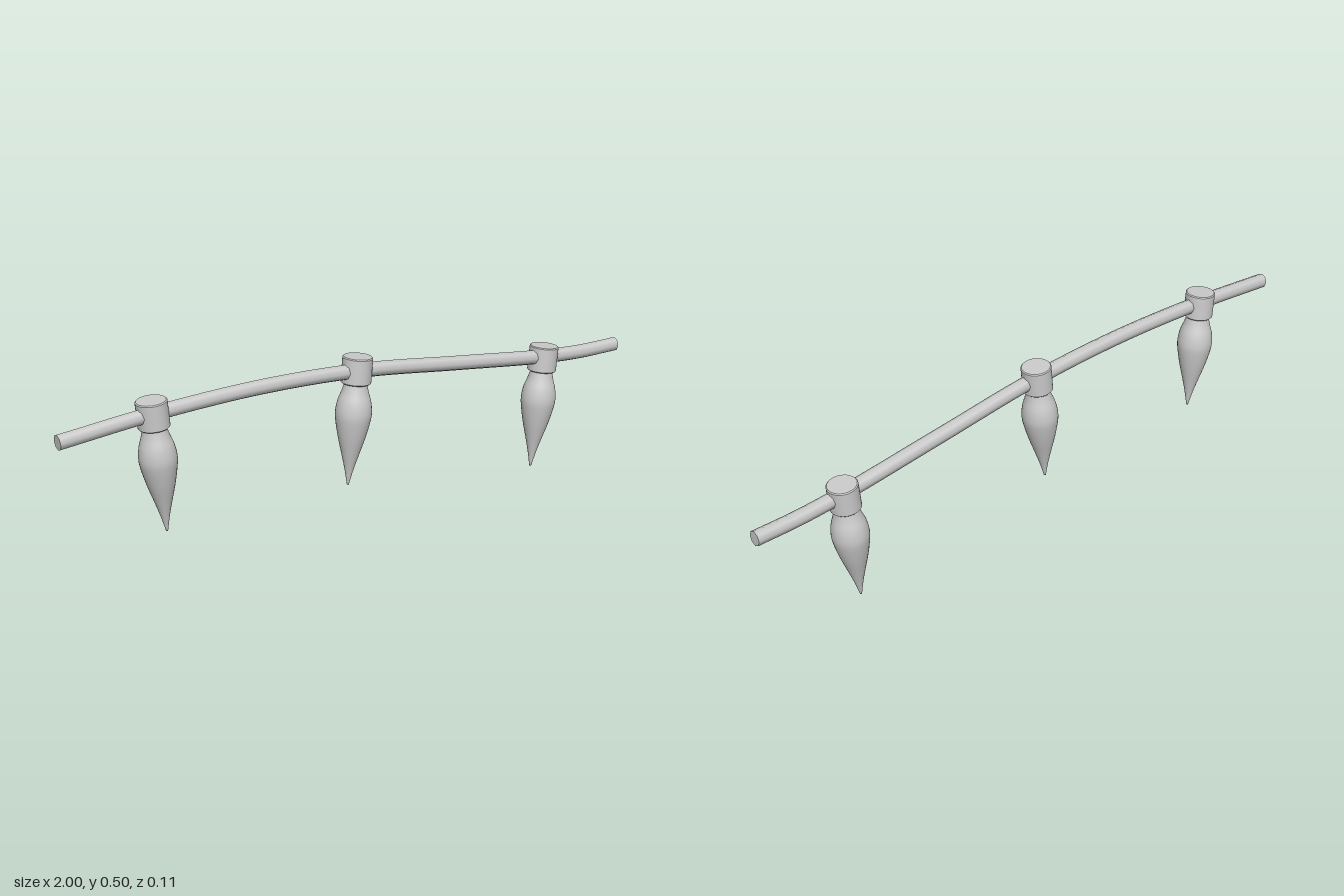
import * as THREE from 'three';

const v2 = (pts) => pts.map(([x, y]) => new THREE.Vector2(x, y));

export function createModel() {
  const group = new THREE.Group();
  const material = new THREE.MeshStandardMaterial({ color: 0xcccccc });
  const add = (parent, name, geometry) => {
    const mesh = new THREE.Mesh(geometry, material);
    mesh.name = name;
    parent.add(mesh);
    return mesh;
  };

  // Gently waving wire, eight-sided, with closed ends
  const path = new THREE.CatmullRomCurve3([
    [-1, 0.437], [-0.7, 0.461], [-0.35, 0.471], [0, 0.455],
    [0.35, 0.412], [0.7, 0.369], [0.85, 0.358], [1, 0.357],
  ].map(([x, y]) => new THREE.Vector3(x, y, 0)));
  const wire = new THREE.Group();
  wire.name = 'wire';
  wire.position.z = 0.003;
  wire.scale.z = 0.93;
  group.add(wire);
  add(wire, 'wireTube', new THREE.TubeGeometry(path, 48, 0.0235, 8));
  for (const end of [0, 1]) {
    const cap = add(wire, 'wireEnd', new THREE.CircleGeometry(0.0235, 8));
    cap.position.copy(path.getPointAt(end));
    const outward = path.getTangentAt(end).multiplyScalar(end ? 1 : -1);
    cap.lookAt(cap.position.clone().add(outward));
  }

  // Pointed bulb profile, measured up from its tip
  const bulbCurve = new THREE.SplineCurve(v2([
    [0.003, 0.002], [0.0135, 0.05], [0.027, 0.1], [0.041, 0.15], [0.052, 0.2],
    [0.0555, 0.232], [0.051, 0.267], [0.041, 0.298], [0.035, 0.322], [0.033, 0.34],
  ]));
  const bulbGeometry = new THREE.LatheGeometry(
    [new THREE.Vector2(0, 0), ...bulbCurve.getPoints(32)], 32);

  // Socket with narrow bevelled rims; each rim point is doubled for a crisp edge
  const rim = [[0, 0.324], [0.043, 0.324], [0.046, 0.327], [0.046, 0.403], [0.043, 0.406], [0, 0.406]];
  const socketProfile = rim.flatMap((p, i) => (i > 0 && i < rim.length - 1 ? [p, p] : [p]));
  const socketGeometry = new THREE.LatheGeometry(v2(socketProfile), 32).toNonIndexed();
  // Radial normals on the side wall, straight facet normals on the rims
  socketGeometry.computeVertexNormals();
  const pos = socketGeometry.attributes.position;
  const normal = socketGeometry.attributes.normal;
  for (let i = 0; i < pos.count; i++) {
    if (Math.abs(normal.getY(i)) < 0.1) {
      const r = Math.hypot(pos.getX(i), pos.getZ(i)) || 1;
      normal.setXYZ(i, pos.getX(i) / r, 0, pos.getZ(i) / r);
    }
  }

  // Three lights, each tilted a little about its tip
  for (const [x, y, tilt] of [[-0.674, 0.096, 0.087], [-0.051, 0.096, -0.093], [0.664, 0, -0.104]]) {
    const light = new THREE.Group();
    light.name = 'light';
    light.position.set(x, y, 0);
    light.rotation.z = tilt;
    group.add(light);
    add(light, 'bulb', bulbGeometry);
    add(light, 'socket', socketGeometry);
  }
  return group;
}
